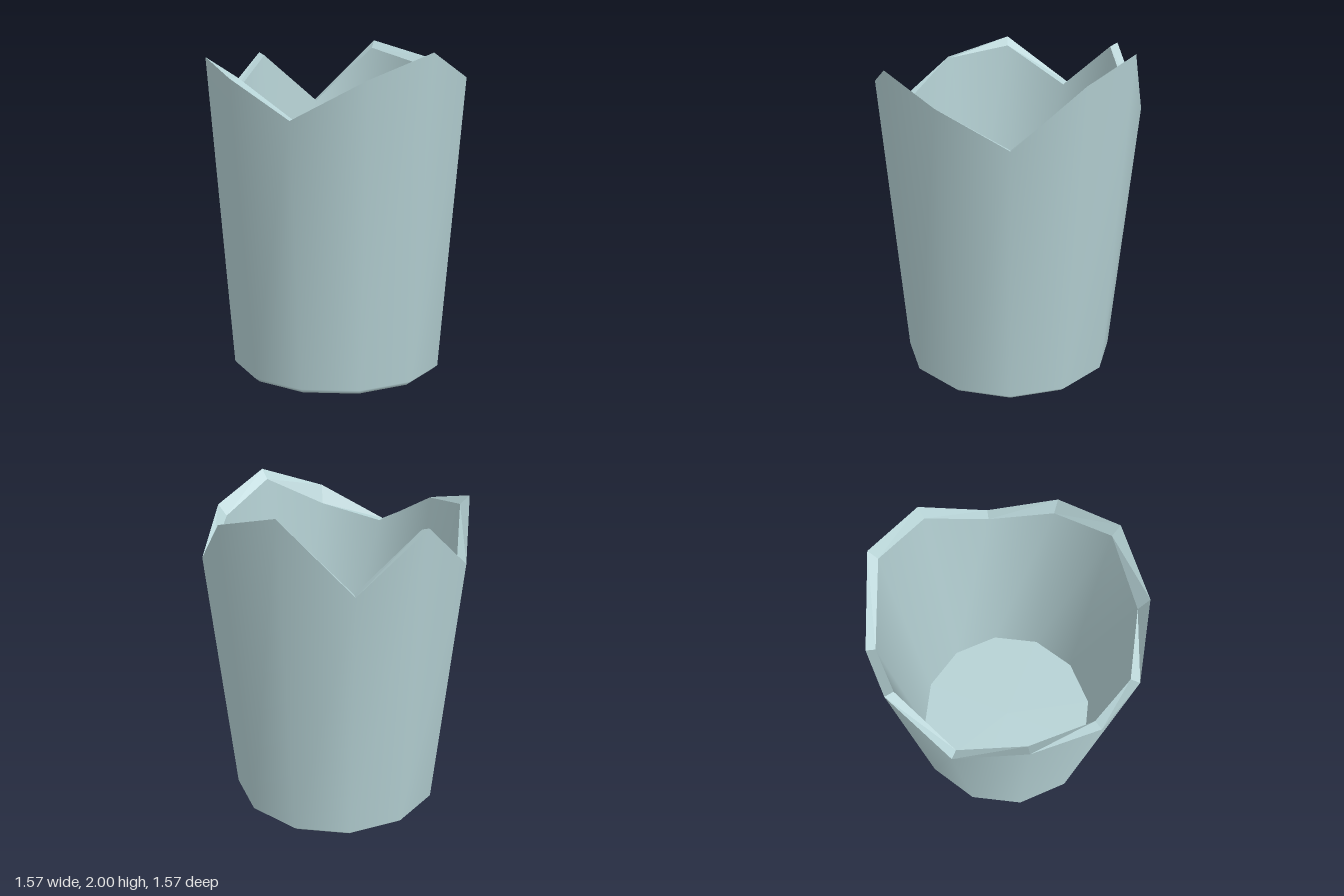
import * as THREE from 'three';

const SIDES = 12;
// Rim heights, every 30 degrees from the front towards +x
const OUTER_RIM = [1.775, 1.56, 1.77, 1.915, 1.775, 1.575, 1.89, 2.0, 1.6, 1.92, 1.61, 1.89];
const INNER_RIM = [1.78, 1.56, 1.66, 1.86, 1.71, 1.565, 1.84, 1.95, 1.595, 1.9, 1.6, 1.84];

// One twelve-sided cross-section; height is a number or one value per corner
function ring(radius, height) {
  return Array.from({ length: SIDES }, (_, i) => {
    const a = (i / SIDES) * Math.PI * 2;
    const y = Array.isArray(height) ? height[i] : height;
    return [radius * Math.sin(a), y, radius * Math.cos(a)];
  });
}

// Skin a sequence of rings
function loft(rings, flat = false) {
  const index = [];
  for (let r = 0; r < rings.length - 1; r++) {
    for (let i = 0; i < SIDES; i++) {
      const j = (i + 1) % SIDES;
      const a = r * SIDES + i, b = r * SIDES + j;
      index.push(a, b, b + SIDES, a, b + SIDES, a + SIDES);
    }
  }
  let geometry = new THREE.BufferGeometry();
  geometry.setAttribute('position', new THREE.Float32BufferAttribute(rings.flat(2), 3));
  geometry.setIndex(index);
  if (flat) geometry = geometry.toNonIndexed();
  geometry.computeVertexNormals();
  return geometry;
}

export function createModel() {
  const group = new THREE.Group();
  group.name = 'brokenCup';
  const material = new THREE.MeshStandardMaterial({ color: 0xb4d0d3 });
  material.name = 'paleBlueGrey';

  const add = (name, geometry) => {
    const mesh = new THREE.Mesh(geometry, material);
    mesh.name = name;
    group.add(mesh);
  };

  const outerTop = ring(0.785, OUTER_RIM);
  const innerTop = ring(0.73, INNER_RIM);
  const floorEdge = ring(0.59, 0.06);

  // Underside, bevel and tapering wall share smooth normals
  add('outerShell', loft([ring(0, 0), ring(0.61, 0), ring(0.645, 0.03), outerTop]));
  // Jagged broken edge
  add('brokenRim', loft([outerTop, innerTop], true));
  add('innerWall', loft([innerTop, floorEdge]));
  add('innerFloor', loft([floorEdge, ring(0, 0.06)]));

  return group;
}
